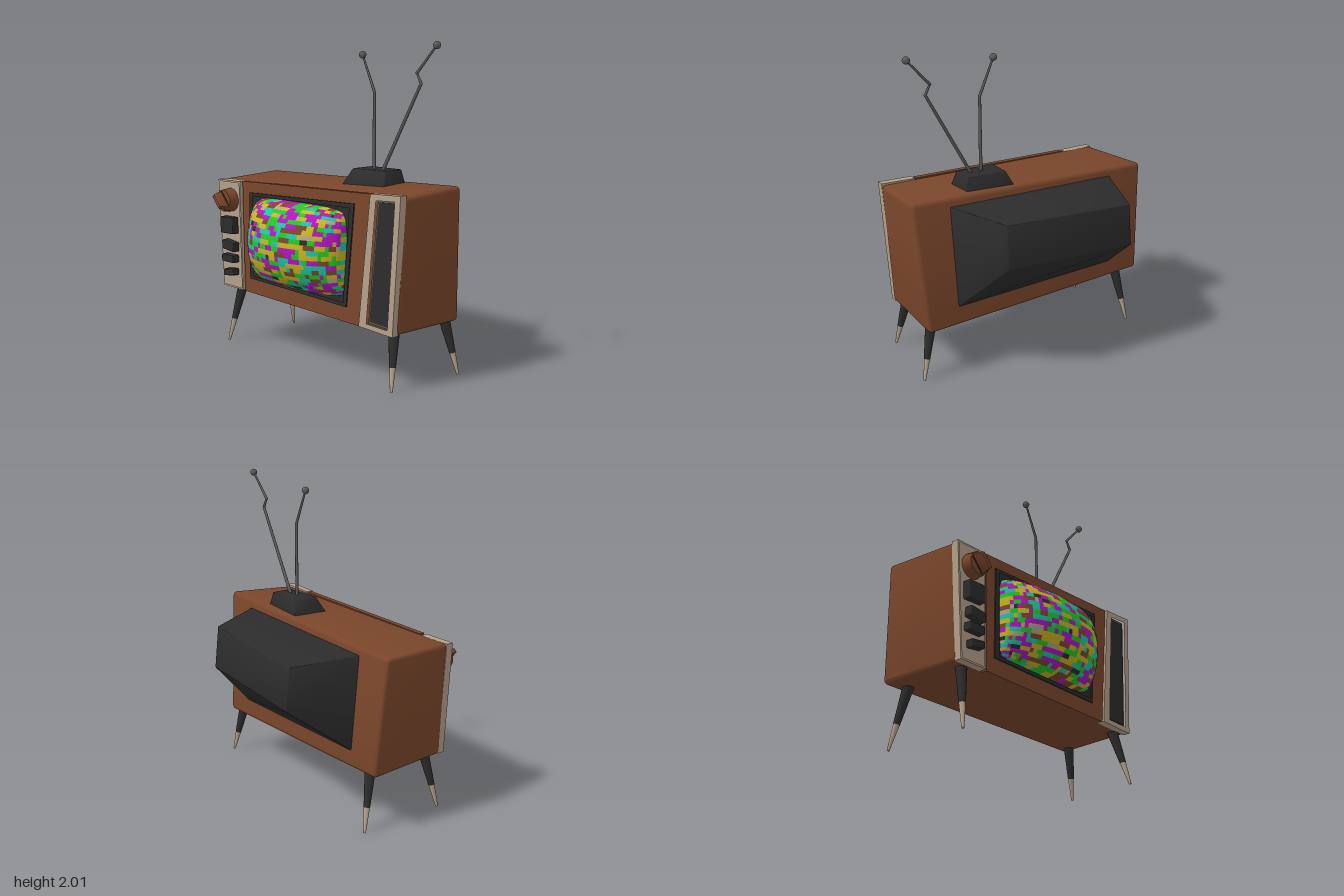
import * as THREE from 'three';
import { toCreasedNormals } from 'three/addons/utils/BufferGeometryUtils.js';
import { RoundedBoxGeometry } from 'three/addons/geometries/RoundedBoxGeometry.js';

const mat = (name, color, side = THREE.FrontSide) => {
  const m = new THREE.MeshStandardMaterial({ color, side });
  m.name = name;
  return m;
};

export function createModel() {
  const tv = new THREE.Group();
  tv.name = 'television';
  const wood = mat('woodBrown', 0x7a462b);
  const dark = mat('charcoal', 0x2c2c2c);
  const beige = mat('beige', 0xb5a18b);
  const metal = mat('metalGrey', 0x5c5c5e);
  const magenta = mat('magenta', 0xb414c4);
  const yellow = mat('yellow', 0xc8b422);
  const green = mat('green', 0x22c822);
  const cyan = mat('cyan', 0x20c4a4);

  const add = (name, geo, material, parent = tv) => {
    const m = new THREE.Mesh(geo, material);
    m.name = name;
    parent.add(m);
    return m;
  };
  const V = (p) => new THREE.Vector3(...p);

  // Rounded box warped onto eight corners; each face runs TL, TR, BR, BL seen from the front
  const block = (name, material, front, back, radius, parent) => {
    const [f, b] = [front.map(V), back.map(V)];
    const size = [f[0].distanceTo(f[1]), f[0].distanceTo(f[3]), f[0].distanceTo(b[0])];
    const geo = new RoundedBoxGeometry(...size, 2, radius);
    const pos = geo.attributes.position;
    const side = (c, u, v) => c[3].clone().lerp(c[2], u).lerp(c[0].clone().lerp(c[1], u), v);
    for (let i = 0; i < pos.count; i++) {
      const u = pos.getX(i) / size[0] + 0.5, v = pos.getY(i) / size[1] + 0.5;
      const p = side(b, u, v).lerp(side(f, u, v), pos.getZ(i) / size[2] + 0.5);
      pos.setXYZ(i, p.x, p.y, p.z);
    }
    return add(name, toCreasedNormals(geo, 0.7), material, parent);
  };

  // Four-cornered plate, optionally with a hole, from z0 to z1
  const plate = (name, material, pts, z0, z1, hole) => {
    const shape = new THREE.Shape(pts.map((p) => new THREE.Vector2(...p)));
    if (hole) shape.holes.push(new THREE.Path(hole.map((p) => new THREE.Vector2(...p))));
    const geo = new THREE.ExtrudeGeometry(shape, { depth: z1 - z0, bevelEnabled: false });
    geo.translate(0, 0, z0);
    return add(name, geo, material);
  };

  // Tapered rod between two points
  const rod = (name, material, a, b, ra, rb, parent = tv) => {
    const [p, q] = [V(a), V(b)];
    const m = add(name, new THREE.CylinderGeometry(rb, ra, p.distanceTo(q), 14), material, parent);
    m.position.copy(p).lerp(q, 0.5);
    m.quaternion.setFromUnitVectors(new THREE.Vector3(0, 1, 0), q.sub(p).normalize());
    return m;
  };

  // Cabinet and rear housing
  block('cabinet', wood,
    [[-0.81, 1.1, 0.34], [0.81, 1.14, 0.34], [0.765, 0.335, 0.34], [-0.775, 0.38, 0.34]],
    [[-0.85, 1.112, -0.17], [0.845, 1.165, -0.125], [0.79, 0.325, -0.19], [-0.81, 0.375, -0.22]], 0.025);
  block('rearHousing', dark,
    [[-0.6, 1.07, -0.15], [0.6, 1.1, -0.12], [0.58, 0.45, -0.18], [-0.58, 0.47, -0.2]],
    [[-0.44, 1.03, -0.56], [0.43, 1.07, -0.5], [0.43, 0.8, -0.53], [-0.44, 0.77, -0.59]], 0.008);

  // Front frame around the screen, with a dark groove behind it
  const bezelEdge = [[-0.495, 1.04], [0.45, 1.07], [0.385, 0.44], [-0.5, 0.47]];
  plate('groove', dark, [[-0.588, 1.09], [0.585, 1.13], [0.5, 0.35], [-0.57, 0.385]], 0.33, 0.345);
  plate('screenFrame', wood, [[-0.572, 1.107], [0.572, 1.14], [0.485, 0.343], [-0.56, 0.374]], 0.33, 0.365, bezelEdge);
  plate('bezelLip', dark, bezelEdge, 0.33, 0.372, [[-0.465, 1.02], [0.41, 1.04], [0.36, 0.465], [-0.46, 0.49]]);
  plate('bezel', dark, bezelEdge, 0.33, 0.352);

  // Bulging screen: one smooth grid, its cells grouped by colour in random runs
  const cols = 40, rows = 24;
  const verts = [];
  const bend = (s) => Math.sin(s * 1.3) / Math.sin(1.3);
  for (let j = 0; j <= rows; j++) {
    for (let i = 0; i <= cols; i++) {
      const u = bend((i / cols) * 2 - 1), v = bend((j / rows) * 2 - 1);
      const dome = Math.pow(Math.max(0, (1 - u * u) * (1 - v * v)), 0.45);
      verts.push(-0.038 + 0.412 * u * (1 - 0.08 * v ** 6), 0.752 + 0.272 * v * (1 - 0.08 * u ** 6), 0.345 + 0.245 * dome);
    }
  }
  let seed = 7;
  const random = () => (seed = (seed * 16807) % 2147483647) / 2147483647;
  const palette = [magenta, green, yellow, cyan, wood, beige, dark];
  const share = [0.28, 0.51, 0.71, 0.84, 0.93, 0.98, 1];
  const faces = palette.map(() => []);
  for (let j = 0; j < rows; j++) {
    let run = 0, colour = 0;
    for (let i = 0; i < cols; i++) {
      if (run-- <= 0) {
        const r = random();
        colour = share.findIndex((s) => r <= s);
        run = Math.floor(random() * 3);
      }
      const a = j * (cols + 1) + i, c = a + cols + 1;
      faces[colour].push(a, a + 1, c + 1, a, c + 1, c);
    }
  }
  const screenGeo = new THREE.BufferGeometry();
  screenGeo.setAttribute('position', new THREE.Float32BufferAttribute(verts, 3));
  screenGeo.setIndex(faces.flat());
  let start = 0;
  faces.forEach((f, k) => {
    screenGeo.addGroup(start, f.length, k);
    start += f.length;
  });
  screenGeo.computeVertexNormals();
  add('screen', screenGeo, palette);

  // Control panel with a rim
  const panel = [[-0.813, 1.1], [-0.59, 1.102], [-0.572, 0.378], [-0.77, 0.382]];
  plate('controlPanel', beige, panel, 0.325, 0.367);
  plate('controlPanelRim', beige, panel, 0.36, 0.374, [[-0.8, 1.088], [-0.602, 1.09], [-0.584, 0.39], [-0.758, 0.394]]);

  // Tuning dial with a diagonal grip
  const dial = new THREE.Group();
  dial.name = 'tuningDial';
  dial.position.set(-0.693, 0.972, 0.365);
  tv.add(dial);
  rod('dialBase', wood, [0, 0, 0], [0, 0, 0.068], 0.079, 0.072, dial);
  const grip = block('dialGrip', wood,
    [[-0.05, 0.014, 0.125], [0.05, 0.014, 0.125], [0.05, -0.014, 0.125], [-0.05, -0.014, 0.125]],
    [[-0.063, 0.022, 0.06], [0.063, 0.022, 0.06], [0.063, -0.022, 0.06], [-0.063, -0.022, 0.06]], 0.004, dial);
  grip.rotation.z = -0.85;
  for (const s of [-1, 1]) {
    const line = add('dialGroove', new THREE.BoxGeometry(0.115, 0.007, 0.004), dark, dial);
    line.rotation.z = -0.85;
    line.position.set(s * 0.021, s * 0.019, 0.068);
  }

  // Crooked push buttons: x, y, width, height, tilt
  for (const [x, y, w, h, tilt] of [
    [-0.687, 0.805, 0.13, 0.11, 0.03], [-0.677, 0.668, 0.12, 0.062, -0.12],
    [-0.682, 0.582, 0.12, 0.05, 0], [-0.672, 0.49, 0.1, 0.045, 0.12]]) {
    const button = add('button', new RoundedBoxGeometry(w, h, 0.06, 1, 0.006), dark);
    button.position.set(x, y, 0.385);
    button.rotation.z = tilt;
  }

  // Speaker panel: beige frame, metal trim, dark grille
  const opening = [[0.625, 1.107], [0.768, 1.115], [0.718, 0.365], [0.553, 0.373]];
  plate('speakerFrame', beige, [[0.58, 1.142], [0.812, 1.152], [0.757, 0.33], [0.49, 0.345]], 0.325, 0.374, opening);
  plate('speakerTrim', metal, opening, 0.33, 0.356);
  plate('speakerGrille', dark, [[0.638, 1.097], [0.757, 1.104], [0.707, 0.377], [0.566, 0.385]], 0.34, 0.361);

  // Antenna base, rods and tips
  block('antennaBase', dark,
    [[0.16, 1.23, 0.085], [0.425, 1.232, 0.075], [0.445, 1.12, 0.12], [0.105, 1.11, 0.145]],
    [[0.165, 1.23, -0.085], [0.425, 1.232, -0.07], [0.45, 1.12, -0.09], [0.105, 1.11, -0.12]], 0.006);
  for (const path of [
    [[0.28, 1.22], [0.28, 1.7], [0.18, 1.925]],
    [[0.35, 1.22], [0.65, 1.76], [0.617, 1.82], [0.765, 1.98]]]) {
    const antenna = new THREE.Group();
    antenna.name = 'antenna';
    tv.add(antenna);
    const pts = path.map(([x, y]) => [x, y, 0.02]);
    for (let i = 0; i + 1 < pts.length; i++) {
      const r = i ? 0.009 : 0.011;
      rod('antennaRod', metal, pts[i], pts[i + 1], r, i ? 0.006 : 0.009, antenna);
      const ball = add('antennaJoint', new THREE.SphereGeometry(i + 2 === pts.length ? 0.023 : 0.009, 14, 10), metal, antenna);
      ball.position.set(...pts[i + 1]);
    }
  }

  // Splayed legs: top and foot positions, pale tips
  for (const [name, top, foot] of [
    ['frontRightLeg', [-0.675, 0.41, 0.28], [-0.737, 0, 0.367]],
    ['frontLeftLeg', [0.69, 0.37, 0.28], [0.747, 0, 0.367]],
    ['backLeftLeg', [0.735, 0.37, -0.11], [0.82, 0, -0.157]],
    ['backRightLeg', [-0.675, 0.41, -0.135], [-0.735, 0, -0.227]]]) {
    const leg = new THREE.Group();
    leg.name = name;
    tv.add(leg);
    const joint = V(foot).lerp(V(top), 0.37).toArray();
    rod('legShaft', dark, joint, top, 0.02, 0.036, leg);
    rod('legTip', beige, foot, joint, 0.008, 0.019, leg);
  }
  return tv;
}
